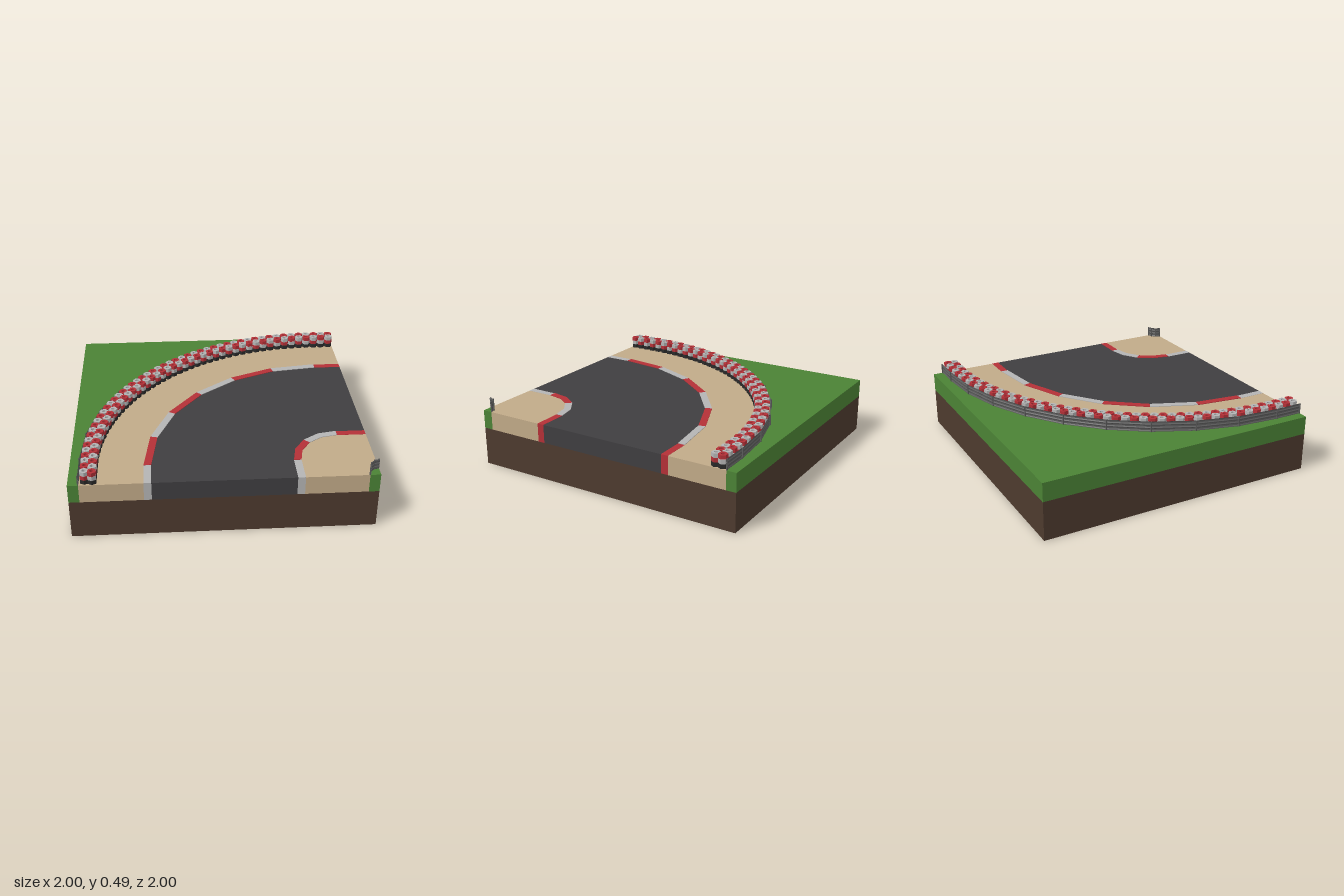
import * as THREE from 'three';
import { mergeGeometries } from 'three/addons/utils/BufferGeometryUtils.js';

const TOP = 0.4, SOIL = 0.27, C = 0.8;
const mat = (color) => new THREE.MeshStandardMaterial({ color, side: THREE.DoubleSide, flatShading: true });

// Quarter bend as [x, z] points: straight lead-in, n-sided arc about (c, c), straight lead-out
function bend(r, n, c = C) {
  const pts = [];
  for (let i = 0; i <= n; i++) {
    const a = (i / n) * Math.PI / 2;
    pts.push([c - r * Math.cos(a), c - r * Math.sin(a)]);
  }
  return c < 1 ? [[c - r, 1], ...pts, [1, c - r]] : pts;
}

const shapeOf = (pts) => new THREE.Shape(pts.map(([x, z]) => new THREE.Vector2(x, -z)));
const flat = (pts) => new THREE.ShapeGeometry(shapeOf(pts)).rotateX(-Math.PI / 2).translate(0, TOP, 0);
const slab = (pts, h) => new THREE.ExtrudeGeometry(shapeOf(pts), { depth: h, bevelEnabled: false })
  .rotateX(-Math.PI / 2).translate(0, TOP, 0);
const between = (a, b) => [...a, ...[...b].reverse()];

// Rectangle on the cut faces: one on the front (z = 1) and its mirror on the side (x = 1)
function cutFaces(a, b, y0 = SOIL, y1 = TOP) {
  const front = new THREE.PlaneGeometry(b - a, y1 - y0).translate((a + b) / 2, (y0 + y1) / 2, 1);
  const side = new THREE.PlaneGeometry(b - a, y1 - y0).rotateY(Math.PI / 2).translate(1, (y0 + y1) / 2, (a + b) / 2);
  return [front, side];
}

// Rectangle on the two outer faces (back and x = -1)
function outerFaces(y0, y1) {
  const h = y1 - y0, y = (y0 + y1) / 2;
  return [
    new THREE.PlaneGeometry(2, h).rotateY(Math.PI).translate(0, y, -1),
    new THREE.PlaneGeometry(2, h).rotateY(-Math.PI / 2).translate(-1, y, 0),
  ];
}

// Sweep a [radius offset, height] profile along a bend
function sweep(profile, r, n, c) {
  const rows = profile.map(([dr, y]) => bend(r + dr, n, c).map(([x, z]) => [x, TOP + y, z]));
  const w = rows[0].length, index = [];
  for (let j = 0; j < rows.length - 1; j++) {
    for (let i = 0; i < w - 1; i++) {
      const a = j * w + i, b = a + w;
      index.push(a, b, a + 1, a + 1, b, b + 1);
    }
  }
  const g = new THREE.BufferGeometry();
  g.setAttribute('position', new THREE.Float32BufferAttribute(rows.flat(2), 3));
  g.setIndex(index);
  g.computeVertexNormals();
  return g;
}

// Position and heading at distance s along a smooth bend of radius r
function along(r, s) {
  const lead = 1 - C, arc = r * Math.PI / 2;
  if (s < lead) return [C - r, 1 - s, 0];
  if (s > lead + arc) return [C + s - lead - arc, C - r, Math.PI / 2];
  const a = (s - lead) / r;
  return [C - r * Math.cos(a), C - r * Math.sin(a), a];
}

function hexPath(r, Type) {
  const p = new Type();
  for (let i = 0; i < 6; i++) {
    const a = i * Math.PI / 3 + Math.PI / 6;
    p[i ? 'lineTo' : 'moveTo'](r * Math.cos(a), r * Math.sin(a));
  }
  p.closePath();
  return p;
}

export function createModel() {
  const model = new THREE.Group();
  const grass = mat(0x4b8235), sand = mat(0xc1aa88), asphalt = mat(0x3f3e40), red = mat(0xb43037);
  const white = mat(0xb4b4b4), soil = mat(0x4d3a2e), steel = mat(0x5c5c5c), rubber = mat(0x2a2a2a);
  const add = (name, geos, material, parent = model) => {
    const list = geos.map((g) => (g.index ? g.toNonIndexed() : g));
    const mesh = new THREE.Mesh(mergeGeometries(list), material);
    mesh.name = name;
    parent.add(mesh);
  };

  // Ground: hollow soil skirt with coloured layers on top
  add('soilWalls', [...cutFaces(-1, 1, 0, SOIL), ...outerFaces(0, SOIL)], soil);
  const edge = bend(1.73, 9), corner = bend(0.07, 3, 1);
  add('grass', [
    flat([...edge, [1, -1], [-1, -1], [-1, 1]]), flat([...corner, [1, 1]]),
    ...cutFaces(-1, -0.93), ...cutFaces(0.93, 1), ...outerFaces(SOIL, TOP),
  ], grass);
  add('sandTrap', [
    flat(between(edge, bend(1.32, 6))), flat(between(bend(0.285, 4), corner)),
    ...cutFaces(-0.93, -0.52), ...cutFaces(0.515, 0.93),
  ], sand);
  add('roadSurface', [flat(between(bend(1.27, 6), bend(0.335, 4))), ...cutFaces(-0.47, 0.465)], asphalt);

  // Kerbs: alternating blocks, each spanning a few steps of the bend
  const kerbs = { red: [], white: [] };
  for (const [r0, r1, n, step] of [[1.27, 1.32, 6, 1], [0.285, 0.335, 4, 2]]) {
    const inner = bend(r0, n), outer = bend(r1, n), last = inner.length - 1;
    const stops = [0];
    for (let i = 1; i < last; i += step) stops.push(i);
    stops.push(last);
    for (let k = 0; k < stops.length - 1; k++) {
      const [a, b] = [stops[k], stops[k + 1] + 1];
      const straight = k === 0 || k === stops.length - 2;
      const block = between(outer.slice(a, b), inner.slice(a, b));
      kerbs[k % 2 ? 'red' : 'white'].push(slab(block, straight ? 0.001 : 0.004));
    }
  }
  for (const [a, b] of [[-0.52, -0.47], [0.465, 0.515]]) {
    const [front, side] = cutFaces(a, b);
    kerbs.white.push(front);
    kerbs.red.push(side);
  }
  add('redKerbs', kerbs.red, red);
  add('whiteKerbs', kerbs.white, white);

  // Guard rails: corrugated steel band with posts at each joint
  const profile = [[0, 0]];
  for (let k = 0; k < 3; k++) {
    const y = 0.004 + k * 0.024;
    profile.push([0, y], [-0.004, y + 0.006], [-0.004, y + 0.016], [0, y + 0.022]);
  }
  for (const [name, r, n, c] of [['outerGuardRail', 1.73, 9, C], ['cornerGuardRail', 0.07, 3, 1]]) {
    const posts = bend(r + 0.002, n, c).map(([x, z]) => new THREE.BoxGeometry(0.007, 0.074, 0.007)
      .translate(Math.min(x, 0.996), TOP + 0.037, Math.min(z, 0.996)));
    const group = new THREE.Group();
    group.name = name;
    add('railBand', [sweep(profile, r, n, c)], steel, group);
    add('railPosts', posts, steel, group);
    model.add(group);
  }

  // Tyre wall: two staggered rows of three-high stacks
  const ring = hexPath(0.031, THREE.Shape);
  ring.holes.push(hexPath(0.014, THREE.Path));
  const tyre = new THREE.ExtrudeGeometry(ring, { depth: 0.028, bevelEnabled: false }).rotateX(-Math.PI / 2);
  const core = new THREE.CylinderGeometry(0.014, 0.014, 0.07, 6);
  const tyres = { red: [], white: [], black: [] };
  const count = 50;
  [1.69, 1.642].forEach((r, row) => {
    const length = 2 * (1 - C) + r * Math.PI / 2;
    for (let i = 0; i < count; i++) {
      const [x, z, a] = along(r, (i + (row ? 0.45 : 0.6)) * length / count);
      const px = Math.min(x, 0.97), pz = Math.min(z, 0.97);
      for (let layer = 0; layer < 3; layer++) {
        const kind = layer === 0 ? 'black' : (i + layer + row) % 2 ? 'red' : 'white';
        tyres[kind].push(tyre.clone().rotateY(-a).translate(px, TOP + 0.001 + layer * 0.03, pz));
      }
      tyres.black.push(core.clone().toNonIndexed().rotateY(-a).translate(px, TOP + 0.036, pz));
    }
  });
  const wall = new THREE.Group();
  wall.name = 'tyreWall';
  add('redTyres', tyres.red, red, wall);
  add('whiteTyres', tyres.white, white, wall);
  add('blackTyres', tyres.black, rubber, wall);
  model.add(wall);

  return model;
}
